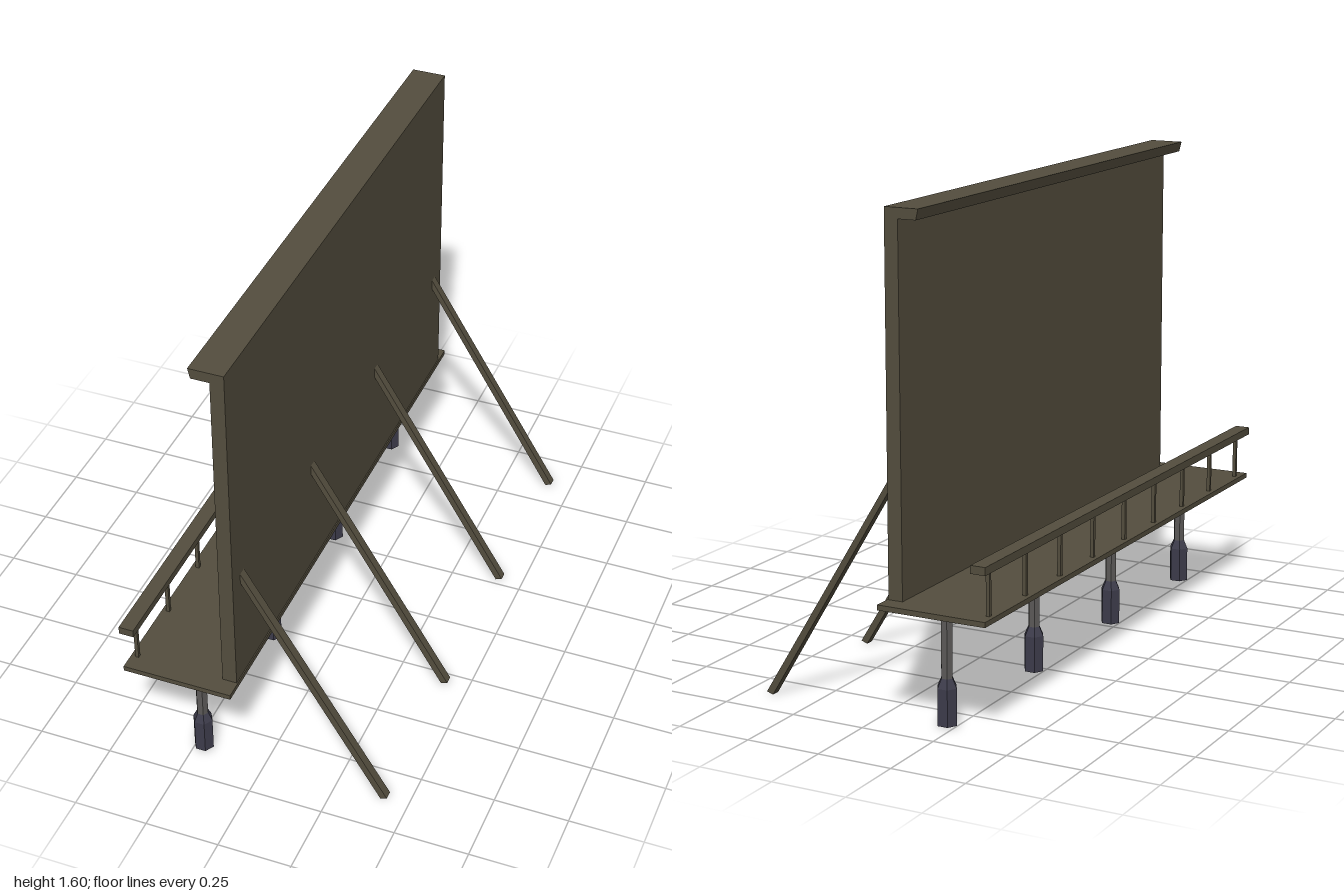
import * as THREE from 'three';

export function createModel() {
  const model = new THREE.Group();
  const mat = (name, color) => {
    const m = new THREE.MeshStandardMaterial({ color });
    m.name = name;
    m.flatShading = true;
    return m;
  };
  const wood = mat('weathered wood', 0x544e3e);
  const steel = mat('grey steel', 0x5c5a58);
  const footing = mat('dark blue footing', 0x3d3c4b);

  const add = (name, geometry, material, x = 0, y = 0, z = 0) => {
    const mesh = new THREE.Mesh(geometry, material);
    mesh.name = name;
    mesh.position.set(x, y, z);
    model.add(mesh);
    return mesh;
  };
  // Side profile in x and y, extruded along z and centred on it
  const extrude = (points, depth) => {
    const shape = new THREE.Shape(points.map(([x, y]) => new THREE.Vector2(x, y)));
    return new THREE.ExtrudeGeometry(shape, { depth, bevelEnabled: false }).translate(0, 0, -depth / 2);
  };
  // Hexagonal column with corners pointing along x
  const hex = (rTop, rBottom, height) =>
    new THREE.CylinderGeometry(rTop, rBottom, height, 6).rotateY(Math.PI / 6);

  // Board with the overhanging lip along its top
  add('board', extrude([
    [-0.06, 0.395], [-0.06, 1.6], [-0.175, 1.6], [-0.167, 1.566],
    [-0.106, 1.566], [-0.109, 0.395],
  ], 1.868), wood);

  // Walkway and its railing
  add('walkway', new THREE.BoxGeometry(0.37, 0.017, 1.99), wood, -0.241, 0.391, 0);
  add('handrail', new THREE.BoxGeometry(0.05, 0.026, 2), wood, -0.405, 0.557, 0);
  for (let i = 0; i < 9; i++) {
    add('railPost', new THREE.BoxGeometry(0.012, 0.15, 0.012), wood, -0.405, 0.472, (i - 4) * 0.2335);
  }

  // Four bays, each with a pole, a footing and a rear brace
  for (const z of [-0.862, -0.287, 0.287, 0.862]) {
    add('pole', hex(0.02, 0.02, 0.25), steel, -0.221, 0.26, z);
    add('footing', hex(0.034, 0.034, 0.12), footing, -0.221, 0.065, z);
    add('footingCollar', hex(0.02, 0.034, 0.03), footing, -0.221, 0.14, z);
    add('brace', extrude([
      [-0.062, 0.81], [-0.062, 0.774], [0.406, 0], [0.428, 0.008],
    ], 0.03), wood, 0, 0, z);
  }
  return model;
}
